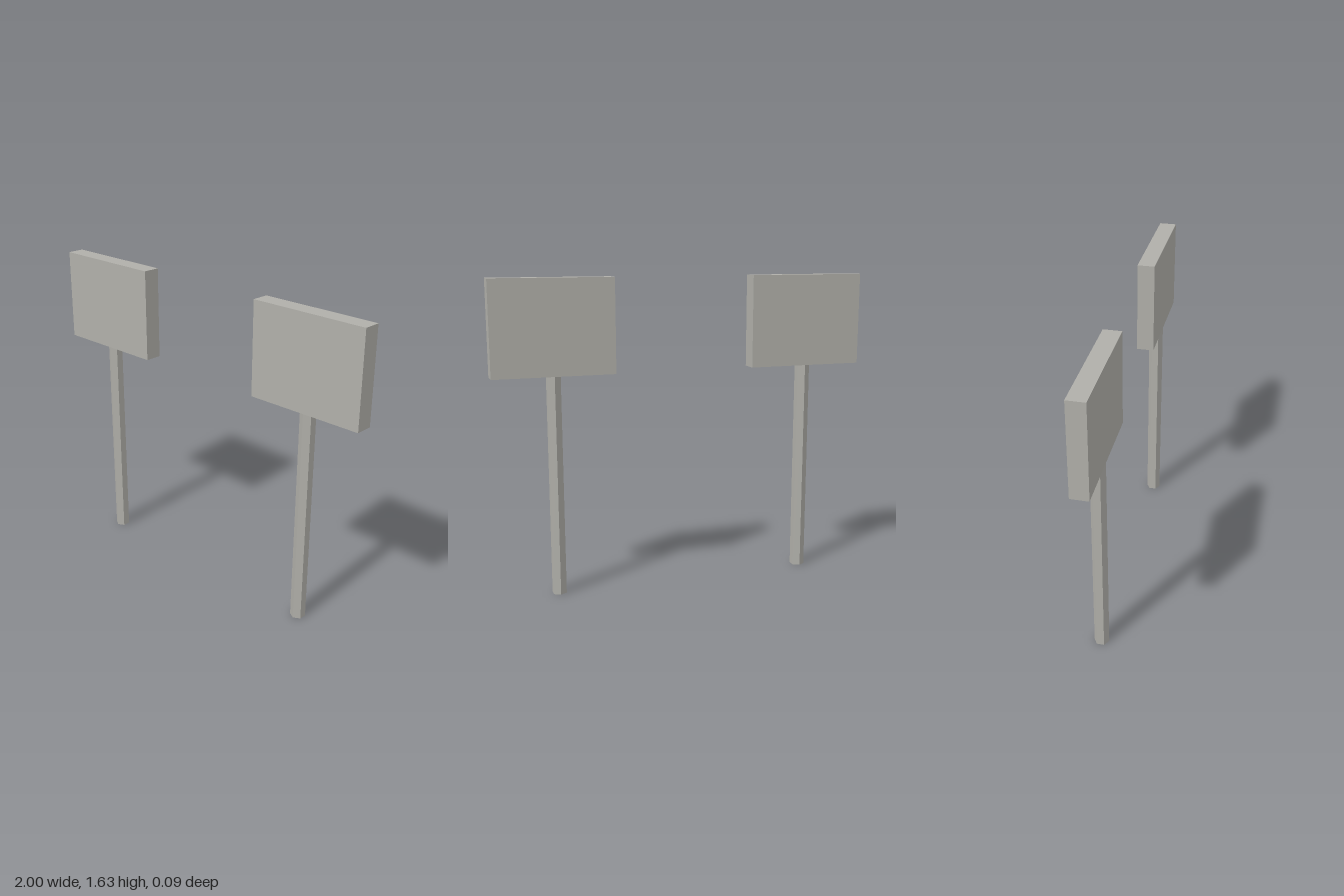
import * as THREE from 'three';

const POST_X = 0.686;
const POST_RADIUS = 0.039;
const BOARD = { width: 0.627, bottom: 1.145, top: 1.63, depth: 0.09 };

export function createModel() {
  const model = new THREE.Group();
  model.name = 'signPair';

  const grey = new THREE.MeshStandardMaterial({ color: 0xb0afa9, flatShading: true });
  grey.name = 'warm grey';

  // Hexagonal post with a corner facing front; it ends just inside the board
  const postHeight = BOARD.bottom + 0.02;
  const postGeometry = new THREE.CylinderGeometry(POST_RADIUS, POST_RADIUS, postHeight, 6);
  postGeometry.translate(0, postHeight / 2, 0);

  // Thick rectangular board resting on the post
  const boardHeight = BOARD.top - BOARD.bottom;
  const boardGeometry = new THREE.BoxGeometry(BOARD.width, boardHeight, BOARD.depth);
  boardGeometry.translate(0, BOARD.bottom + boardHeight / 2, 0);

  // Two identical signs, one on each side
  for (const [side, label] of [[1, 'left'], [-1, 'right']]) {
    const sign = new THREE.Group();
    sign.name = `${label}Sign`;
    sign.position.x = side * POST_X;

    const post = new THREE.Mesh(postGeometry, grey);
    post.name = `${label}Post`;
    const board = new THREE.Mesh(boardGeometry, grey);
    board.name = `${label}Board`;

    sign.add(post, board);
    model.add(sign);
  }

  return model;
}
